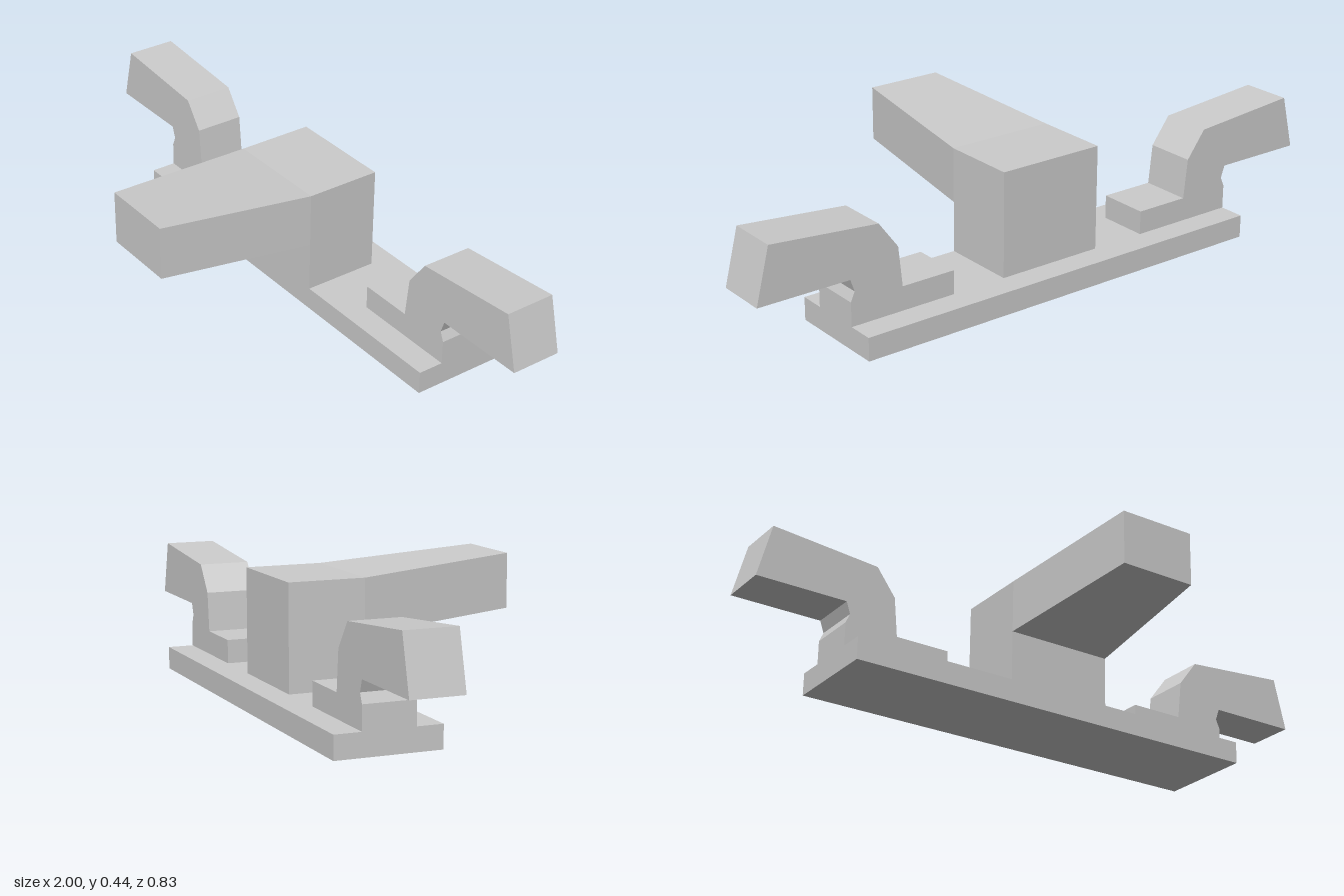
import * as THREE from 'three';

const material = new THREE.MeshStandardMaterial({ color: 0xcccccc, flatShading: true });

// Box given by its extents on each axis
function block(name, [x0, x1], [y0, y1], [z0, z1]) {
  const geometry = new THREE.BoxGeometry(x1 - x0, y1 - y0, z1 - z0);
  geometry.translate((x0 + x1) / 2, (y0 + y1) / 2, (z0 + z1) / 2);
  const mesh = new THREE.Mesh(geometry, material);
  mesh.name = name;
  return mesh;
}

// Side bracket: a bent profile with constant depth; side is +1 (left) or -1 (right)
function sideHook(name, side) {
  const profile = [
    [0.355, 0.072], [0.705, 0.072], [0.705, 0.147], [0.692, 0.177], [0.705, 0.215],
    [1, 0.215], [0.957, 0.387], [0.608, 0.357], [0.545, 0.272], [0.532, 0.147], [0.355, 0.147],
  ];
  const shape = new THREE.Shape(profile.map(([x, y]) => new THREE.Vector2(x * side, y)));
  const geometry = new THREE.ExtrudeGeometry(shape, { depth: 0.162, bevelEnabled: false });
  geometry.translate(0, 0, -0.33);
  const mesh = new THREE.Mesh(geometry, material);
  mesh.name = name;
  return mesh;
}

// Forward arm: a box whose front end narrows and rises
function taperedArm() {
  const arm = block('arm', [-0.175, 0.175], [0.232, 0.403], [-0.087, 0.413]);
  const p = arm.geometry.attributes.position;
  for (let i = 0; i < p.count; i++) {
    if (p.getZ(i) > 0) p.setXYZ(i, Math.sign(p.getX(i)) * 0.123, p.getY(i) + 0.041, p.getZ(i));
  }
  arm.geometry.computeVertexNormals();
  return arm;
}

export function createModel() {
  const model = new THREE.Group();
  model.name = 'hookRack';
  model.add(
    block('basePlate', [-0.705, 0.705], [0, 0.072], [-0.413, -0.087]),
    block('post', [-0.175, 0.175], [0.072, 0.403], [-0.33, -0.087]),
    taperedArm(),
    sideHook('leftHook', 1),
    sideHook('rightHook', -1),
  );
  return model;
}
